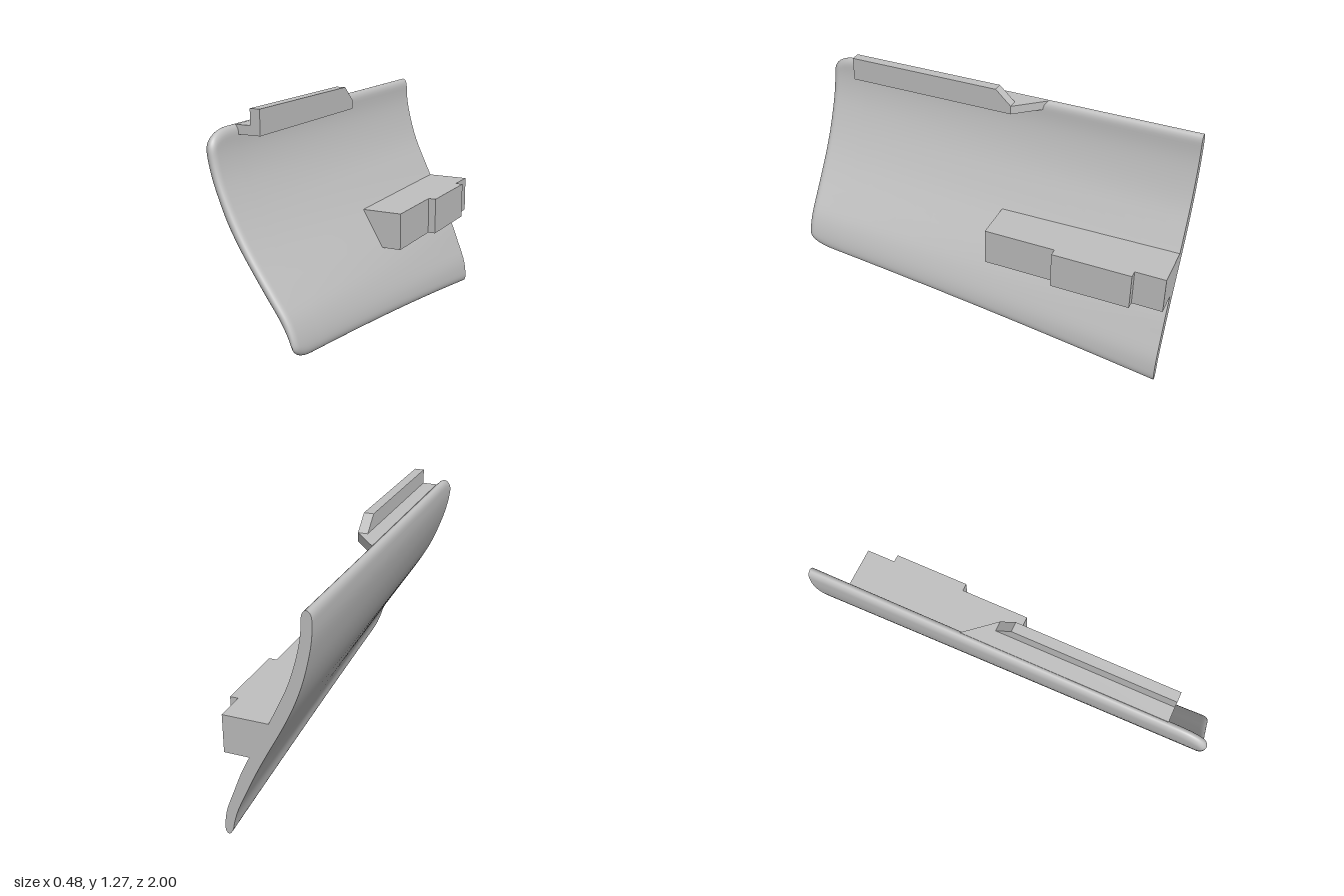
import * as THREE from 'three';
import { mergeVertices } from 'three/addons/utils/BufferGeometryUtils.js';

const grey = new THREE.MeshStandardMaterial({ color: 0xc0c0c0 });
grey.name = 'plain grey';

// Centre line and half thickness of the panel, from bottom to top, at both ends
const BACK_MID = [0.2, 0.18, 0.133, 0.082, 0.022, -0.042, -0.1, -0.15, -0.185, -0.208, -0.212];
const BACK_HALF = [0.02, 0.026, 0.03, 0.034, 0.035, 0.035, 0.035, 0.031, 0.028, 0.026, 0.024];
const FRONT_MID = [0.185, 0.18, 0.138, 0.072, 0.005, -0.058, -0.112, -0.155, -0.19, -0.211, -0.215];
const FRONT_HALF = [0.018, 0.018, 0.026, 0.028, 0.027, 0.027, 0.027, 0.025, 0.024, 0.024, 0.023];

const { lerp, clamp } = THREE.MathUtils;

// Smooth lookup in an evenly spaced list
function sample(list, u) {
  const p = clamp(u, 0, 1) * (list.length - 1);
  const i = Math.min(Math.floor(p), list.length - 2), t = p - i;
  const at = (k) => list[clamp(k, 0, list.length - 1)];
  const [a, b, c, d] = [at(i - 1), at(i), at(i + 1), at(i + 2)];
  return b + 0.5 * t * (c - a + t * (2 * a - 5 * b + 4 * c - d + t * (3 * (b - c) + d - a)));
}

// Quarter-round falloff towards an edge
const round = (distance, radius) => {
  const q = 1 - clamp(distance / radius, 0, 1);
  return Math.sqrt(1 - q * q);
};

const N = 45, M = 2 * N - 2;

// Closed cross-section at depth z: up the outer face, down the inner face
function section(z) {
  const c = clamp((z - 0.84) / 0.16, 0, 1);
  const corner = 1 - Math.pow(1 - Math.pow(c, 2.4), 1 / 2.4);
  const top = 1.2 - 0.1 * corner;
  const bottom = 0.13 + 0.117 * z - 0.013 * z * z + 0.07 * corner;
  const base = 0.1 + 0.1 * z, k = (z + 1) / 2;
  const point = (j, side) => {
    const y = lerp(bottom, top, (1 - Math.cos(Math.PI * j / (N - 1))) / 2);
    const u = (y - base) / (1.2 - base);
    const mid = lerp(sample(BACK_MID, u), sample(FRONT_MID, u), k);
    const half = lerp(sample(BACK_HALF, u), sample(FRONT_HALF, u), k);
    const edge = round(Math.min(y - bottom, top - y), 0.04) * round(1 - z, 0.03);
    return [mid + side * half * edge, y, z];
  };
  const ring = [];
  for (let j = 0; j < N; j++) ring.push(point(j, -1));
  for (let j = N - 2; j > 0; j--) ring.push(point(j, 1));
  return ring;
}

function geometryFrom(positions, indices) {
  let g = new THREE.BufferGeometry();
  g.setAttribute('position', new THREE.Float32BufferAttribute(positions, 3));
  g.setIndex(indices);
  g = mergeVertices(g, 1e-5);
  g.computeVertexNormals();
  return g;
}

function panelSkin() {
  const depths = [];
  for (let i = 0; i < 18; i++) depths.push(-1 + i * 0.1);
  for (let i = 0; i <= 18; i++) depths.push(0.8 + 0.2 * Math.sin(Math.PI / 2 * i / 18));
  const idx = [];
  for (let k = 0; k < depths.length - 1; k++) {
    for (let j = 0; j < M; j++) {
      const a = k * M + j, b = k * M + (j + 1) % M;
      idx.push(a, a + M, b + M, a, b + M, b);
    }
  }
  return geometryFrom(depths.flatMap((z) => section(z).flat()), idx);
}

// Flat cut at the back
function panelCap() {
  const idx = [];
  for (let j = 0; j < N - 1; j++) {
    const a = j, b = j + 1, c = (M - j - 1) % M, d = (M - j) % M;
    idx.push(a, b, c, a, c, d);
  }
  return geometryFrom(section(-1).flat(), idx);
}

function prism(points, depth) {
  const shape = new THREE.Shape(points.map(([x, y]) => new THREE.Vector2(x, y)));
  return new THREE.ExtrudeGeometry(shape, { depth, bevelEnabled: false });
}

export function createModel() {
  const model = new THREE.Group();
  model.name = 'curvedPanelWithBrackets';
  const add = (name, geometry) => {
    const mesh = new THREE.Mesh(geometry, grey);
    mesh.name = name;
    model.add(mesh);
  };

  add('curvedPanel', panelSkin());
  add('panelBackEnd', panelCap());

  // Upper bracket: flat ledge with a slanted end, and an upright lip
  add('upperLedge', prism([[-0.205, -0.8], [-0.08, -0.8], [-0.08, 0.08], [-0.205, 0.225]], 0.044)
    .rotateX(-Math.PI / 2).translate(0, 1.156, 0));
  add('upperLip', prism([[-0.8, 1.2], [0.08, 1.2], [0, 1.275], [-0.8, 1.275]], 0.05)
    .rotateY(Math.PI / 2).translate(-0.13, 0, 0));

  // Lower bracket: block rooted in the panel, with a raised pad
  add('lowerBlock', prism([[-0.04, 0.635], [0.06, 0.443], [0.2, 0.443], [0.2, 0.635]], 0.93)
    .translate(0, 0, -1));
  add('lowerPad', new THREE.BoxGeometry(0.04, 0.192, 0.405).translate(0.22, 0.539, -0.6425));

  return model;
}
